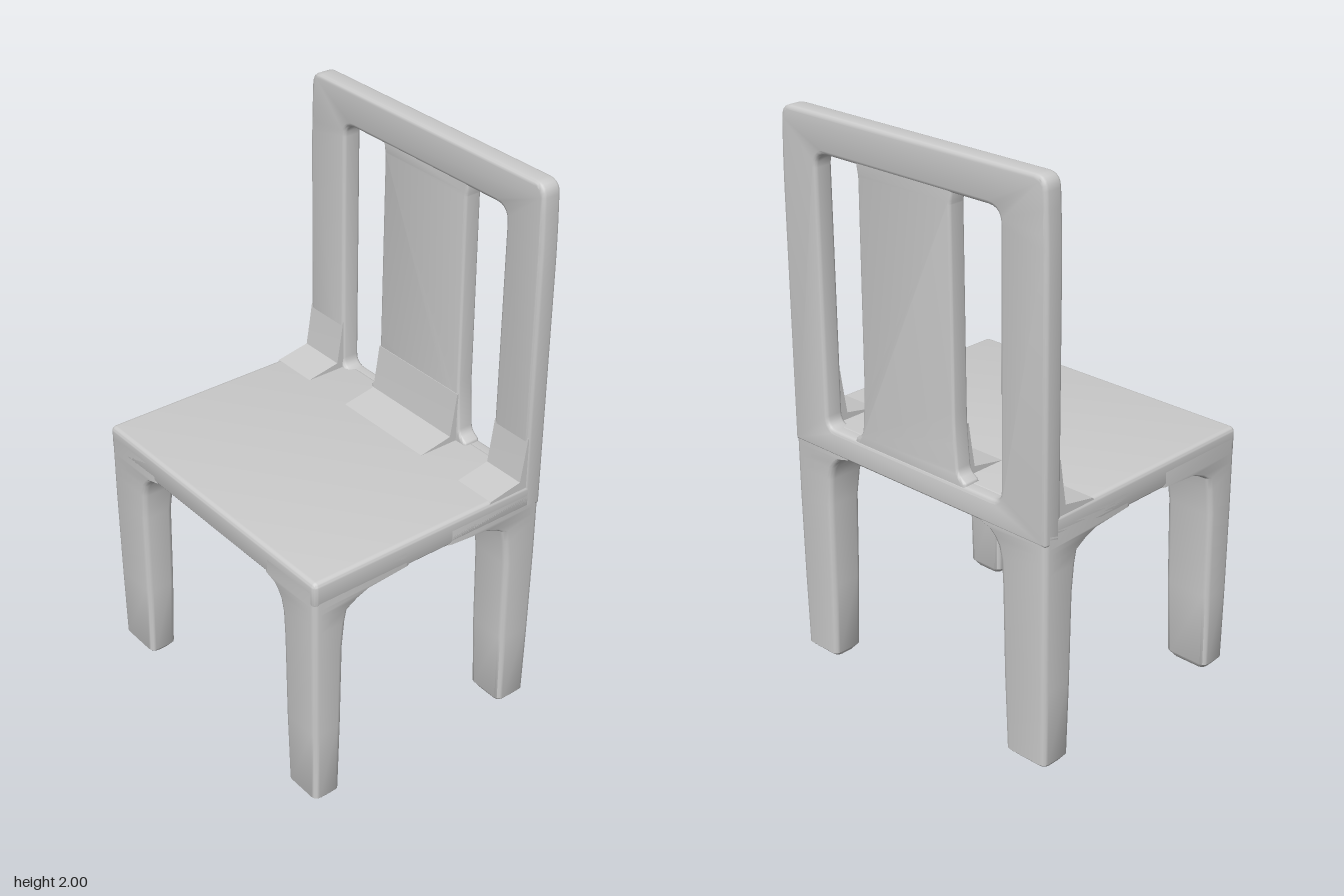
import * as THREE from 'three';
import { toCreasedNormals } from 'three/addons/utils/BufferGeometryUtils.js';
import { RoundedBoxGeometry } from 'three/addons/geometries/RoundedBoxGeometry.js';

const material = new THREE.MeshStandardMaterial({ color: 0xcccccc });

function part(name, geometry, crease = 0.7) {
  const mesh = new THREE.Mesh(toCreasedNormals(geometry, crease), material);
  mesh.name = name;
  return mesh;
}

// Closed polygon with each corner [x, y, radius] rounded
function roundedPath(corners, path = new THREE.Shape()) {
  const n = corners.length;
  corners.forEach(([x, y, r], i) => {
    const p = new THREE.Vector2(x, y);
    const toward = ([qx, qy]) =>
      new THREE.Vector2(qx, qy).sub(p).normalize().multiplyScalar(r).add(p);
    const a = toward(corners[(i + n - 1) % n]);
    const b = toward(corners[(i + 1) % n]);
    if (i === 0) path.moveTo(a.x, a.y);
    else path.lineTo(a.x, a.y);
    path.quadraticCurveTo(x, y, b.x, b.y);
  });
  path.closePath();
  return path;
}

// Upright panel between two depths, with softened edges
function panel(shape, zBack, zFront, bevel) {
  const g = new THREE.ExtrudeGeometry(shape, {
    depth: zFront - zBack - 2 * bevel, curveSegments: 5, bevelEnabled: true,
    bevelThickness: bevel, bevelSize: bevel, bevelOffset: -bevel, bevelSegments: 3,
  });
  return g.translate(0, 0, zBack + bevel);
}

// Loft of rounded rectangles; each section is [y, xa, xb, za, zb]
function loft(sections, r) {
  const pos = [], index = [], steps = 3, ring = 4 * (steps + 1);
  for (const [y, xa, xb, za, zb] of sections) {
    const cx = (xa + xb) / 2, cz = (za + zb) / 2;
    const hx = Math.abs(xb - xa) / 2 - r, hz = Math.abs(zb - za) / 2 - r;
    for (let q = 0; q < 4; q++) {
      for (let s = 0; s <= steps; s++) {
        const a = (q + s / steps) * Math.PI / 2;
        const sx = q === 0 || q === 3 ? 1 : -1, sz = q < 2 ? 1 : -1;
        pos.push(cx + sx * hx + r * Math.cos(a), y, cz + sz * hz + r * Math.sin(a));
      }
    }
  }
  const last = (sections.length - 1) * ring;
  for (let k = 0; k < last; k += ring) {
    for (let i = 0; i < ring; i++) {
      const a = k + i, b = k + (i + 1) % ring;
      index.push(a, a + ring, b, b, a + ring, b + ring);
    }
  }
  for (let i = 1; i < ring - 1; i++) {
    index.push(0, i, i + 1, last, last + i + 1, last + i);
  }
  const g = new THREE.BufferGeometry();
  g.setAttribute('position', new THREE.Float32BufferAttribute(pos, 3));
  g.setIndex(index);
  return g;
}

// Leg that swells into the seat on its two inner sides
function leg(side, innerX, outerZ, innerZ) {
  const d = Math.sign(outerZ);
  // [height, outer inset, inner x shift, inner z shift]
  const rows = [
    [0, 0.022, -0.03, -0.025], [0.022, 0.005, -0.012, -0.01], [0.3, 0.002, -0.004, -0.004],
    [0.62, 0, 0, 0], [0.72, 0, 0.006, 0.01], [0.765, 0, 0.018, 0.02],
    [0.79, 0, 0.035, 0.062], [0.81, 0, 0.058, 0.115], [0.822, 0, 0.1, 0.27], [0.875, 0, 0.1, 0.27],
  ];
  return loft(rows.map(([y, o, ix, iz]) => [
    y, side * (0.577 - o), side * (innerX - ix),
    outerZ - d * (d < 0 ? o * 1.3 : o), d * (innerZ - iz),
  ]), 0.02);
}

export function createModel() {
  const chair = new THREE.Group();
  chair.name = 'chair';

  // Seat
  const seat = new RoundedBoxGeometry(1.154, 0.097, 0.92, 3, 0.018);
  seat.translate(0, 0.8675, 0.016);
  chair.add(part('seat', seat));

  // Legs
  for (const [side, innerX, label] of [[1, 0.412, 'left'], [-1, 0.388, 'right']]) {
    chair.add(part(label + 'FrontLeg', leg(side, innerX, 0.476, 0.357)));
    chair.add(part(label + 'BackLeg', leg(side, innerX, -0.471, 0.335)));
  }

  // Back frame with one large opening
  const outline = roundedPath([
    [-0.577, 0.822, 0.01], [0.577, 0.822, 0.01], [0.577, 1.8, 0.1],
    [0.568, 2, 0.045], [-0.568, 2, 0.045], [-0.577, 1.8, 0.1],
  ]);
  outline.holes.push(roundedPath([
    [-0.388, 0.915, 0.04], [-0.39, 1.868, 0.05], [0.412, 1.868, 0.05], [0.41, 0.915, 0.04],
  ], new THREE.Path()));
  chair.add(part('backFrame', panel(outline, -0.473, -0.4, 0.014)));

  // Centre slat, spreading a little where it meets the seat
  const slat = roundedPath([
    [-0.235, 0.89, 0.005], [0.275, 0.89, 0.005], [0.275, 0.922, 0.01], [0.24, 0.945, 0.02],
    [0.227, 1.1, 0.05], [0.222, 1.83, 0.01], [0.235, 1.9, 0.005],
    [-0.195, 1.9, 0.005], [-0.182, 1.83, 0.01], [-0.187, 1.1, 0.05],
    [-0.2, 0.945, 0.02], [-0.235, 0.922, 0.01],
  ]);
  chair.add(part('backSlat', panel(slat, -0.469, -0.404, 0.01)));

  // Wedges easing the seat up into the posts and slat
  const wedge = new THREE.Shape([
    [0.24, 0.9], [0.44, 0.9], [0.44, 1.1], [0.402, 1.1], [0.39, 1.02], [0.377, 0.94], [0.25, 0.916],
  ].map(([x, y]) => new THREE.Vector2(x, y)));
  for (const [name, x0, x1] of [
    ['rightPostBase', -0.574, -0.392], ['slatBase', -0.186, 0.226], ['leftPostBase', 0.414, 0.574],
  ]) {
    const g = new THREE.ExtrudeGeometry(wedge, { depth: x1 - x0, bevelEnabled: false });
    g.rotateY(Math.PI / 2).translate(x0, 0, 0);
    chair.add(part(name, g, 0.5));
  }
  return chair;
}
